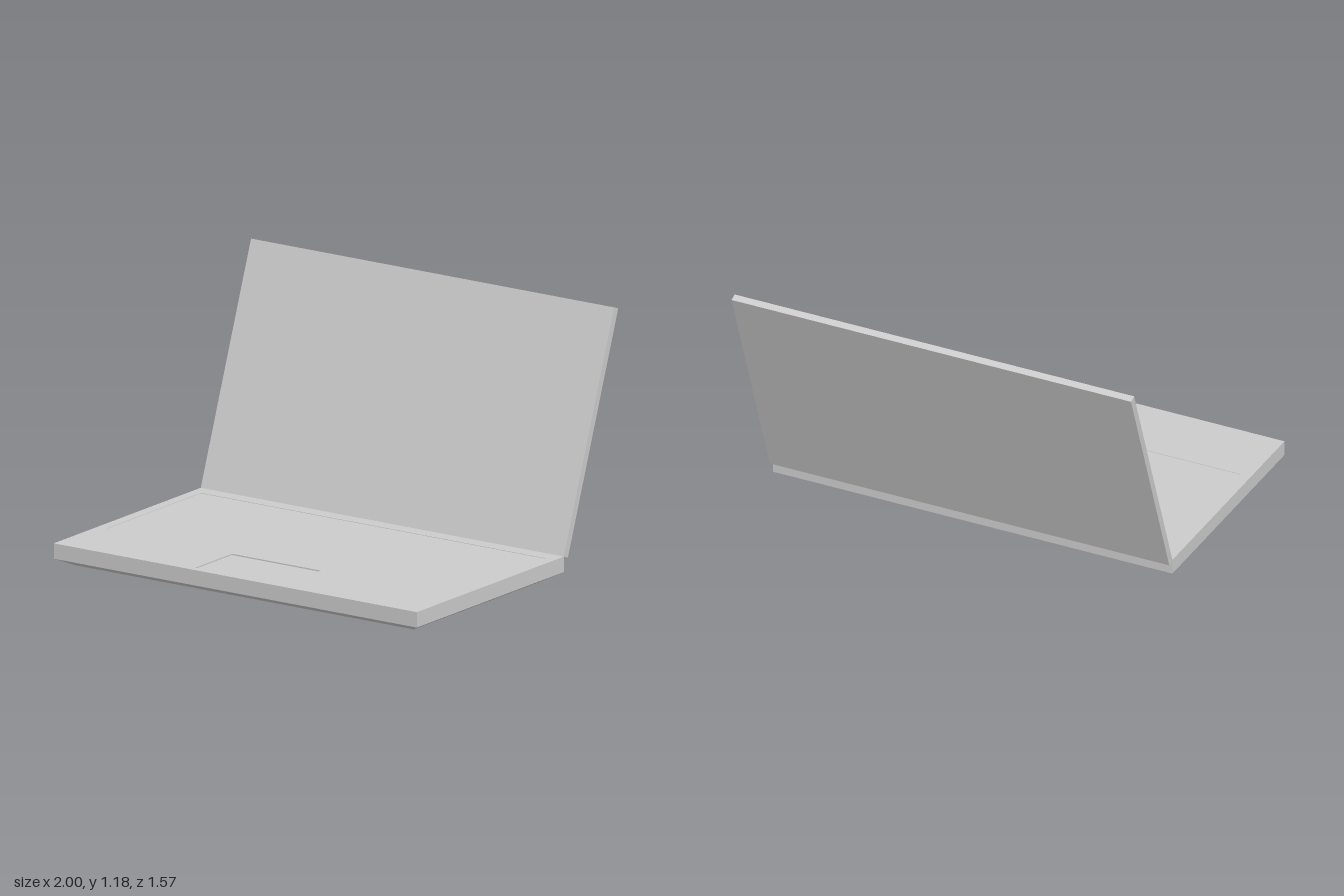
import * as THREE from 'three';

const WIDTH = 2, BACK = -0.36, FRONT = 0.783;
const DEPTH = FRONT - BACK, MID_Z = (FRONT + BACK) / 2;
const BELLY_TOP = 0.037, DECK_BOTTOM = 0.103, DECK_TOP = 0.109;

const material = new THREE.MeshStandardMaterial({ color: 0xcccccc, flatShading: true });

function addPart(parent, name, geometry) {
  const mesh = new THREE.Mesh(geometry, material);
  mesh.name = name;
  parent.add(mesh);
  return mesh;
}

// Box given by its height range and footprint
function slab(w, y0, y1, z0, z1) {
  return new THREE.BoxGeometry(w, y1 - y0, z1 - z0).translate(0, (y0 + y1) / 2, (z0 + z1) / 2);
}

// Rectangle centred on x, drawn in the deck plane (shape y = -z)
function outline(Type, w, z0, z1) {
  const r = new Type();
  r.moveTo(-w / 2, -z1);
  r.lineTo(w / 2, -z1);
  r.lineTo(w / 2, -z0);
  r.lineTo(-w / 2, -z0);
  r.closePath();
  return r;
}

export function createModel() {
  const laptop = new THREE.Group();
  laptop.name = 'laptop';

  const base = new THREE.Group();
  base.name = 'base';
  laptop.add(base);

  // Underside: a slab whose bottom face is drawn inwards
  const belly = slab(WIDTH, 0, BELLY_TOP, BACK, FRONT);
  const p = belly.attributes.position;
  for (let i = 0; i < p.count; i++) {
    if (p.getY(i) > BELLY_TOP / 2) continue;
    p.setX(i, p.getX(i) - Math.sign(p.getX(i)) * 0.07);
    p.setZ(i, p.getZ(i) - Math.sign(p.getZ(i) - MID_Z) * 0.075);
  }
  belly.computeVertexNormals();
  addPart(base, 'underside', belly);

  // Straight-sided body, its top forming the touchpad floor
  addPart(base, 'body', slab(WIDTH, BELLY_TOP, DECK_BOTTOM, BACK, FRONT));

  // Deck with openings for the keyboard and touchpad
  const deckShape = outline(THREE.Shape, WIDTH, BACK, FRONT);
  const keyboard = { w: 1.9, z0: -0.29, z1: 0.44 };
  deckShape.holes.push(
    outline(THREE.Path, keyboard.w, keyboard.z0, keyboard.z1),
    outline(THREE.Path, 0.49, 0.463, 0.752)
  );
  const deck = new THREE.ExtrudeGeometry(deckShape, { depth: DECK_TOP - DECK_BOTTOM, bevelEnabled: false });
  deck.rotateX(-Math.PI / 2).translate(0, DECK_BOTTOM, 0);
  addPart(base, 'deck', deck);

  // Keyboard panel, sunk very slightly below the deck
  addPart(base, 'keyboard', slab(keyboard.w, DECK_BOTTOM, DECK_TOP - 0.002, keyboard.z0, keyboard.z1));

  // Screen lid, hinged on the back edge and leaning back
  const lid = addPart(laptop, 'screenLid', slab(WIDTH, 0, DEPTH, -0.034, 0));
  lid.position.set(0, DECK_TOP, BACK);
  lid.rotation.x = THREE.MathUtils.degToRad(-20);

  return laptop;
}
